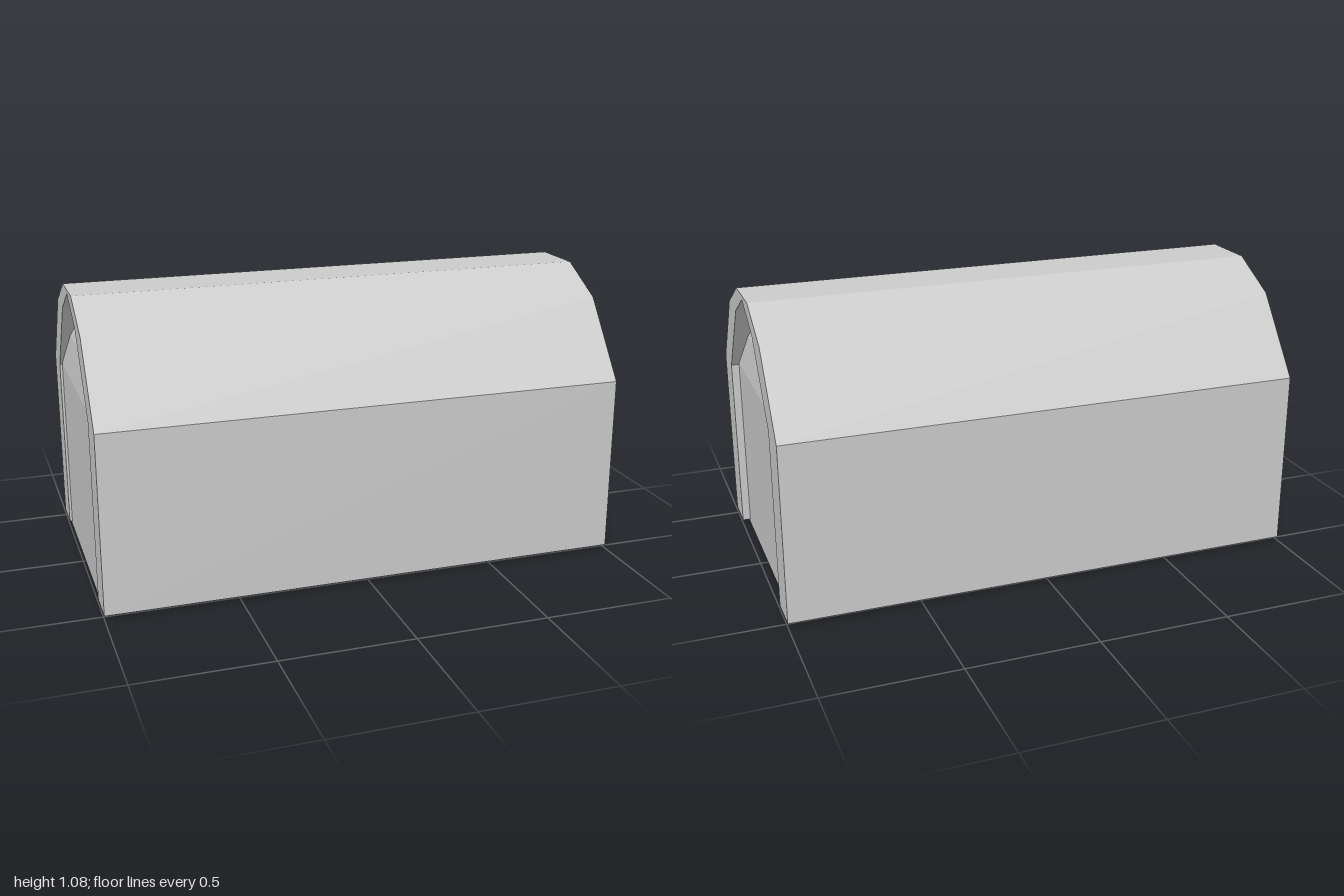
import * as THREE from 'three';

const material = new THREE.MeshStandardMaterial({ color: 0xcccccc, flatShading: true, side: THREE.DoubleSide });

// Mirrors a half profile, listed from the foot to the ridge, into a full arch
function arch(half) {
  const other = half.filter(([z]) => z > 0).map(([z, y]) => [-z, y]).reverse();
  return [...half, ...other].map(([z, y]) => new THREE.Vector2(z, y));
}

// Side walls and faceted roof in one thick arch, extruded along x
function makeShell() {
  const outer = arch([[0.525, 0.015], [0.525, 0.695], [0.31, 0.98], [0.11, 1.083]]);
  const inner = arch([[0.385, 0.015], [0.385, 0.695], [0.165, 0.98], [0, 1.067]]);
  const shape = new THREE.Shape([...outer, ...inner.reverse()]);
  const geometry = new THREE.ExtrudeGeometry(shape, { depth: 2, bevelEnabled: false });
  geometry.translate(0, 0, -1).rotateY(Math.PI / 2);
  const mesh = new THREE.Mesh(geometry, material);
  mesh.name = 'archedShell';
  return mesh;
}

// End wall: a box whose rows narrow and lean inward under the roof
function makeEndWall(side, outerX, name) {
  // height, half width, inward lean
  const rows = [
    [0, 0.413, 0],
    [0.705, 0.413, 0],
    [0.84, 0.31, 0.025],
    [0.98, 0.2, 0.075],
    [1.074, 0.02, 0.11],
  ];
  const thickness = 0.145;
  const geometry = new THREE.BoxGeometry(thickness, 1, 2, 1, rows.length - 1, 1);
  const p = geometry.attributes.position;
  for (let i = 0; i < p.count; i++) {
    const [y, half, lean] = rows[Math.round((p.getY(i) + 0.5) * (rows.length - 1))];
    p.setXYZ(i, p.getX(i) + side * (outerX - thickness / 2 - lean), y, p.getZ(i) * half);
  }
  geometry.computeVertexNormals();
  const mesh = new THREE.Mesh(geometry, material);
  mesh.name = name;
  return mesh;
}

export function createModel() {
  const group = new THREE.Group();
  group.name = 'archedShelter';
  group.add(makeShell());
  group.add(makeEndWall(1, 0.97, 'leftEndWall'));
  group.add(makeEndWall(-1, 0.99, 'rightEndWall'));
  return group;
}
